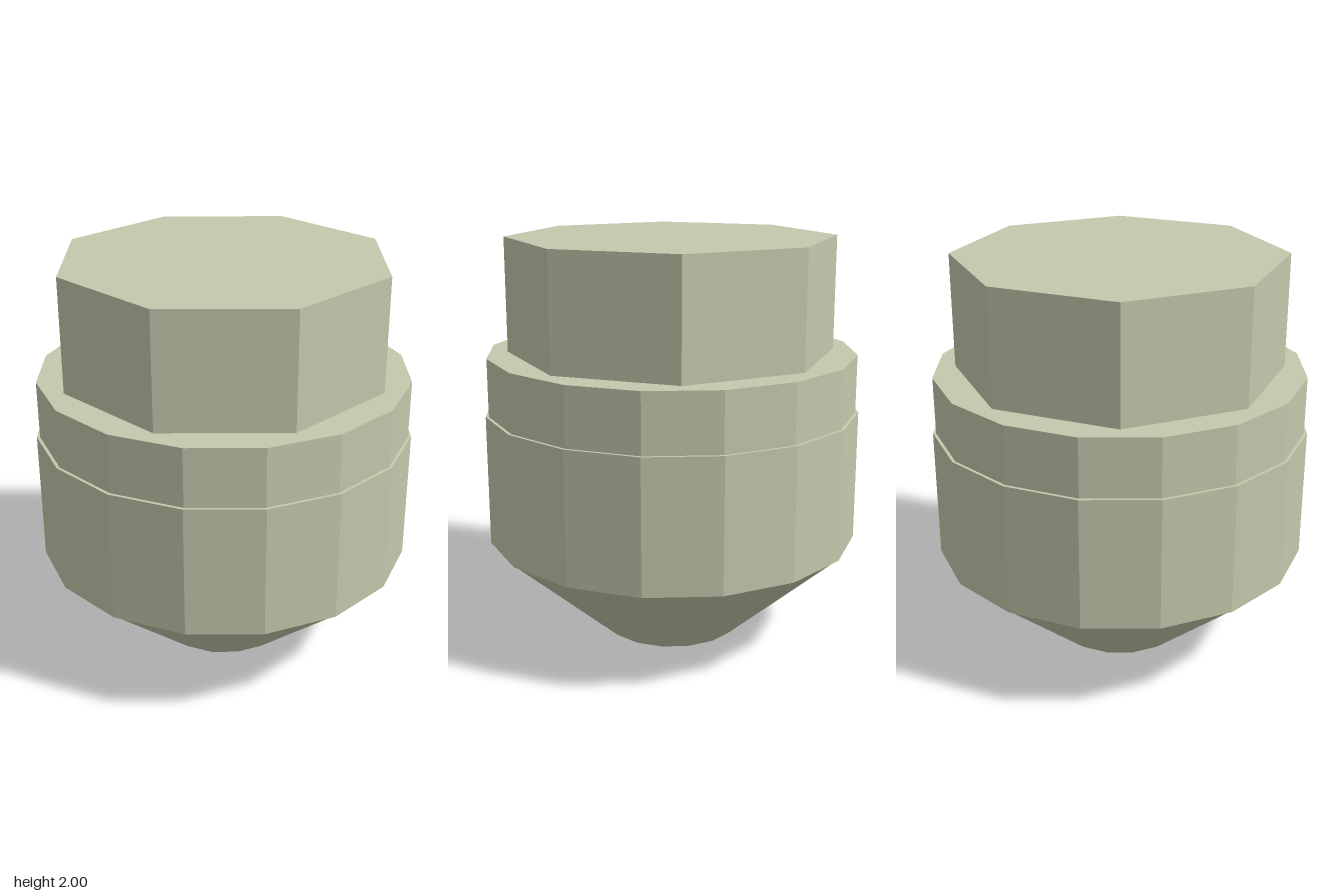
import * as THREE from 'three';

export function createModel() {
  const group = new THREE.Group();
  const material = new THREE.MeshStandardMaterial({ color: 0xc4c8ac, flatShading: true });

  // Prism with a flat side facing the front; radii are measured to the flats.
  function addPrism(name, sides, bottom, top, y0, y1) {
    const k = 1 / Math.cos(Math.PI / sides);
    const geometry = new THREE.CylinderGeometry(top * k, bottom * k, y1 - y0, sides, 1, false, Math.PI / sides);
    const mesh = new THREE.Mesh(geometry, material);
    mesh.name = name;
    mesh.position.y = (y0 + y1) / 2;
    group.add(mesh);
  }

  addPrism('taperedBase', 16, 0.337, 0.9, 0, 0.51);
  addPrism('body', 16, 0.908, 0.908, 0.51, 1.155);
  addPrism('collar', 16, 0.893, 0.893, 1.155, 1.44);
  addPrism('octagonalCap', 8, 0.745, 0.745, 1.44, 2);

  return group;
}
